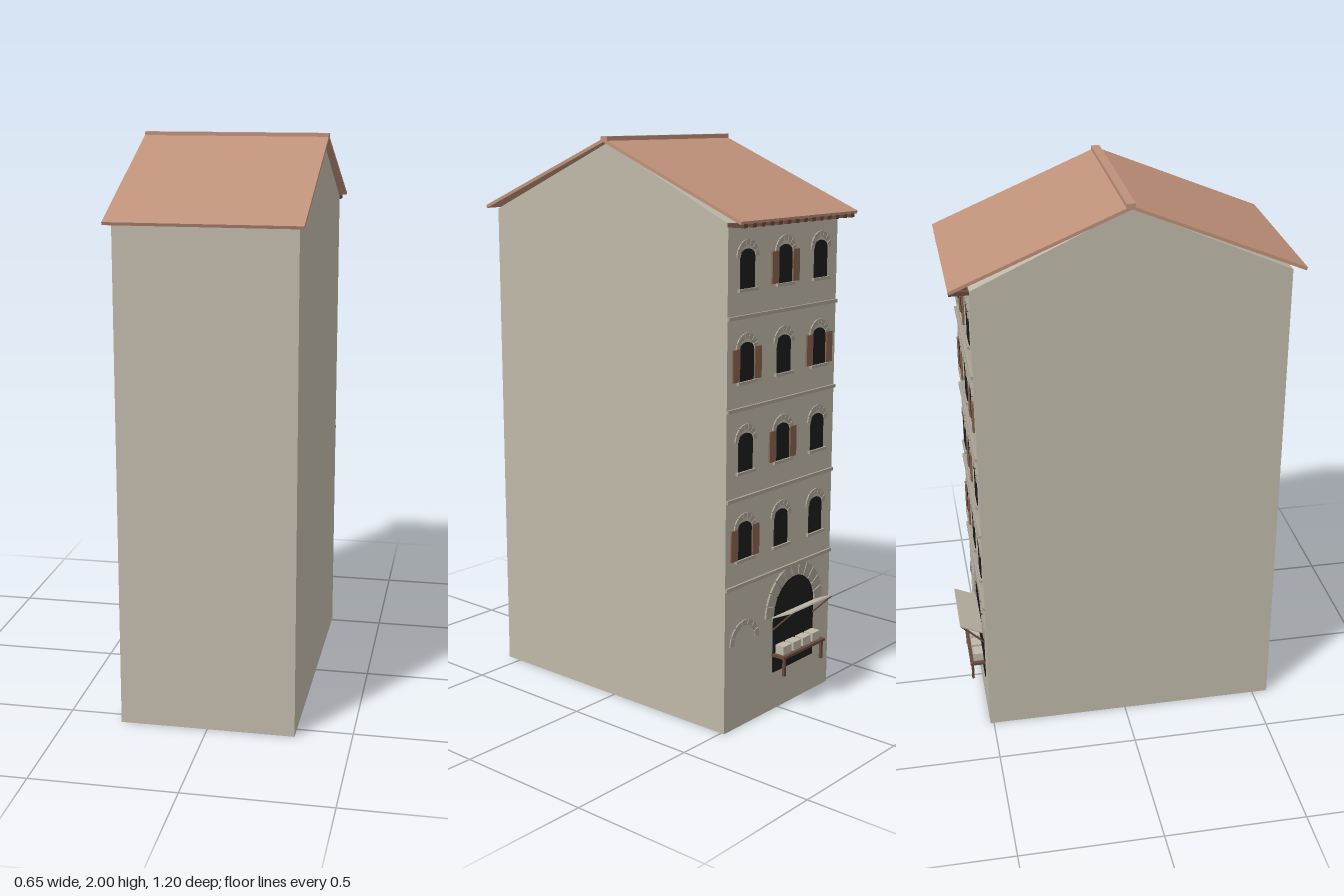
import * as THREE from 'three';

const mat = (name, color, side = THREE.FrontSide) => {
  const m = new THREE.MeshStandardMaterial({ color, side });
  m.name = name;
  return m;
};

export function createModel() {
  const plaster = mat('plaster', 0xbfb8a9);
  const tile = mat('roofTile', 0xbf917a);
  const stone = mat('trimStone', 0xaaa294);
  const dark = mat('darkOpening', 0x1c1c1c);
  const shutterWood = mat('shutterWood', 0x86624f);
  const beamWood = mat('beamWood', 0x66493c);

  const model = new THREE.Group();
  model.name = 'townHouse';

  const add = (parent, name, geometry, material) => {
    const m = new THREE.Mesh(geometry, material);
    m.name = name;
    parent.add(m);
    return m;
  };
  const box = (parent, name, material, w, h, d, x, y, z) => {
    const m = add(parent, name, new THREE.BoxGeometry(w, h, d), material);
    m.position.set(x, y, z);
    return m;
  };
  // Straight bar or slab between two points in the y-z plane
  const slope = (parent, name, material, w, t, x, [z0, y0], [z1, y1]) => {
    const m = box(parent, name, material, w, t, Math.hypot(z1 - z0, y1 - y0), x, (y0 + y1) / 2, (z0 + z1) / 2);
    m.rotation.x = -Math.atan2(y1 - y0, z1 - z0);
    return m;
  };
  const extrude = (shape, depth) =>
    new THREE.ExtrudeGeometry(shape, { depth, bevelEnabled: false, curveSegments: 10 });

  // Gabled wall body, profile in z-y swept along x
  const back = -0.513, front = 0.557, ridgeZ = 0.01;
  const profile = new THREE.Shape([
    [-front, 0], [-back, 0], [-back, 1.735], [-ridgeZ, 1.978], [-front, 1.735],
  ].map(([z, y]) => new THREE.Vector2(z, y)));
  const body = add(model, 'walls', extrude(profile, 0.61), plaster);
  body.rotation.y = Math.PI / 2;
  body.position.x = -0.305;

  // Roof slabs and ridge cap
  slope(model, 'frontRoof', tile, 0.65, 0.011, 0, [ridgeZ, 1.987], [0.598, 1.741]);
  slope(model, 'backRoof', tile, 0.65, 0.011, 0, [ridgeZ, 1.987], [-0.58, 1.741]);
  box(model, 'ridgeCap', tile, 0.65, 0.016, 0.03, 0, 1.992, 0.007);

  // Street side, built facing +z and then turned to the back
  const facade = new THREE.Group();
  facade.name = 'streetFacade';
  facade.rotation.y = Math.PI;
  facade.position.z = back;
  model.add(facade);

  // Rafter ends under the eave
  for (let i = 0; i < 14; i++)
    box(facade, 'rafterEnd', beamWood, 0.02, 0.013, 0.066, -0.299 + i * 0.046, 1.731, 0.033);

  // Arch of separate wedge stones
  const stoneArch = (name, x, y, inner, outer, count, depth) => {
    const arch = new THREE.Group();
    arch.name = name;
    arch.position.set(x, y, 0);
    facade.add(arch);
    const step = Math.PI / count, gap = step * 0.05;
    for (let i = 0; i < count; i++) {
      const a = i * step + gap, b = (i + 1) * step - gap;
      const s = new THREE.Shape();
      s.absarc(0, 0, outer, a, b, false);
      s.absarc(0, 0, inner, b, a, true);
      s.closePath();
      add(arch, 'archStone', new THREE.ExtrudeGeometry(s, { depth, bevelEnabled: false, curveSegments: 2 }), stone);
    }
  };
  // Dark opening with an arched head
  const opening = (name, x, y, w, spring, rise) => {
    const s = new THREE.Shape();
    s.moveTo(-w / 2, 0);
    s.lineTo(w / 2, 0);
    s.lineTo(w / 2, spring);
    s.absellipse(0, spring, w / 2, rise, 0, Math.PI, false, 0);
    s.closePath();
    add(facade, name, extrude(s, 0.003), dark).position.set(x, y, 0);
  };

  // Four upper floors: string course, three windows, some with shutters
  const shuttered = [[0], [1], [0, 2], [1]];
  shuttered.forEach((columns, floor) => {
    const f = 0.515 + floor * 0.305;
    box(facade, 'stringCourse', stone, 0.61, 0.012, 0.008, 0, f, 0.004);
    for (let c = 0; c < 3; c++) {
      const x = (c - 1) * 0.205;
      opening('windowOpening', x, f + 0.092, 0.076, 0.103, 0.025);
      stoneArch('windowArch', x, f + 0.193, 0.04, 0.058, 7, 0.005);
      box(facade, 'windowSill', stone, 0.1, 0.01, 0.01, x, f + 0.087, 0.005);
      if (!columns.includes(c)) continue;
      for (const s of [-1, 1])
        box(facade, 'shutter', shutterWood, 0.036, 0.108, 0.006, x + s * 0.058, f + 0.147, 0.004);
    }
  });

  // Ground floor: blocked doorway arch and arched shop opening
  stoneArch('doorArch', -0.2, 0.305, 0.06, 0.08, 7, 0.005);
  const shopX = 0.085;
  opening('shopOpening', shopX, 0.14, 0.24, 0.21, 0.12);
  stoneArch('shopArch', shopX, 0.35, 0.122, 0.168, 11, 0.007);

  // Raised hatch held by two struts
  slope(facade, 'hatch', plaster, 0.25, 0.005, shopX, [0, 0.345], [0.085, 0.384]);
  for (const s of [-1, 1])
    slope(facade, 'hatchStrut', beamWood, 0.006, 0.005, shopX + s * 0.118, [0, 0.3], [0.083, 0.381]);

  // Counter with legs and goods
  box(facade, 'counter', beamWood, 0.25, 0.009, 0.055, shopX, 0.207, 0.0275);
  for (const s of [-1, 1])
    box(facade, 'counterLeg', beamWood, 0.011, 0.066, 0.009, shopX + s * 0.112, 0.171, 0.047);
  for (let i = 0; i < 4; i++)
    box(facade, 'goodsCrate', plaster, 0.046, 0.032, 0.036, shopX + (i - 1.5) * 0.058, 0.227, 0.024);

  return model;
}
